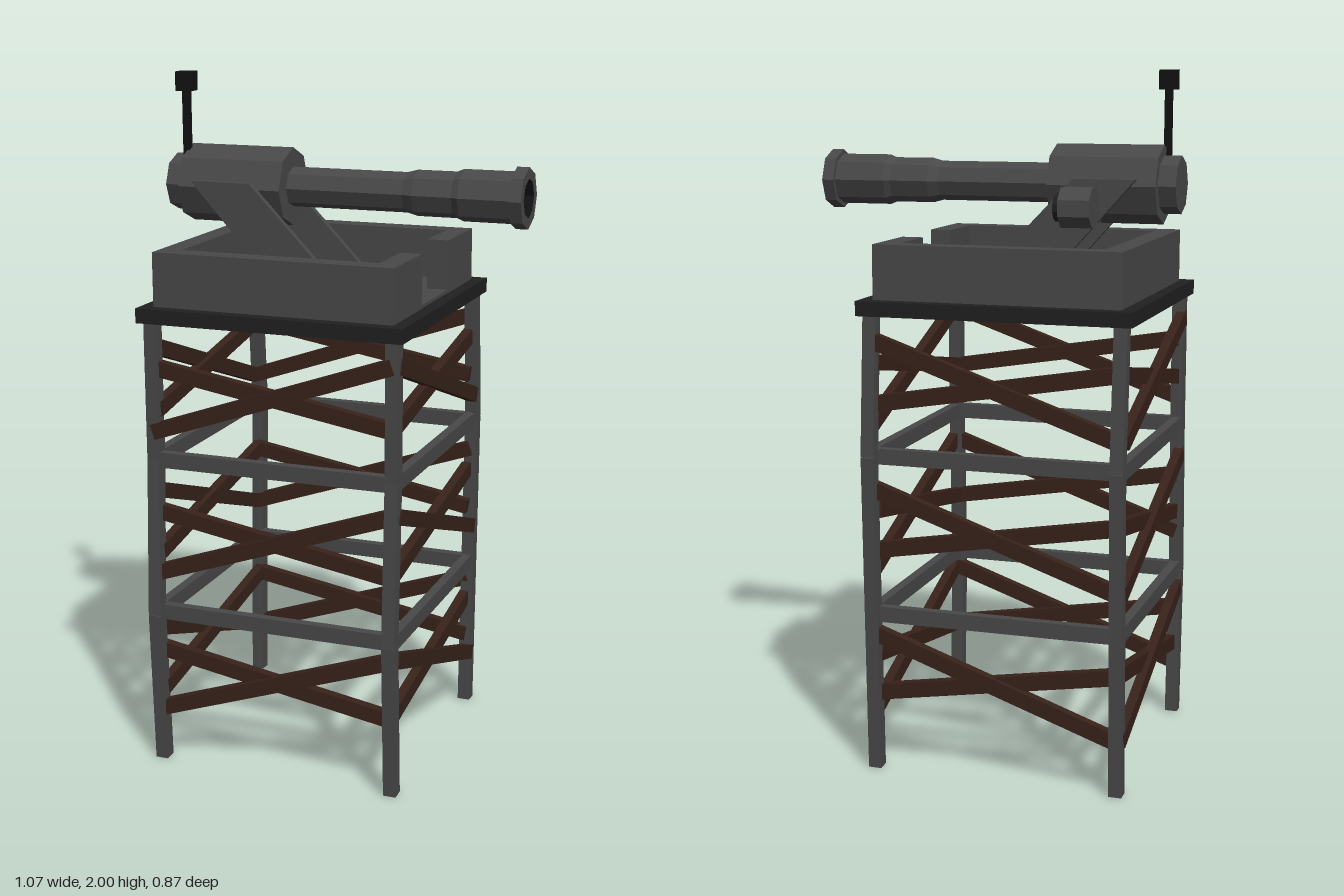
import * as THREE from 'three';

const mat = (color) => new THREE.MeshStandardMaterial({ color, flatShading: true });

export function createModel() {
  const model = new THREE.Group();
  model.name = 'gunTower';
  const steel = mat(0x484848), dark = mat(0x202020), black = mat(0x121212);
  const rust = mat(0x38221a), amber = mat(0xe89a45);

  const add = (parent, name, geometry, material, x = 0, y = 0, z = 0) => {
    const mesh = new THREE.Mesh(geometry, material);
    mesh.name = name;
    mesh.position.set(x, y, z);
    parent.add(mesh);
    return mesh;
  };
  const box = (parent, name, material, w, h, d, x, y, z) =>
    add(parent, name, new THREE.BoxGeometry(w, h, d), material, x, y, z);

  // Straight square beam between two points
  const beam = (parent, name, material, a, b, w, h) => {
    const mid = a.clone().add(b).multiplyScalar(0.5);
    const mesh = box(parent, name, material, w, h, a.distanceTo(b), mid.x, mid.y, mid.z);
    mesh.lookAt(b);
    return mesh;
  };
  const v = (x, y, z) => new THREE.Vector3(x, y, z);

  // Lathe along +x with eight flat sides and a ridge on top
  const turned = (parent, name, material, profile, y) => {
    const pts = profile.map(([x, r]) => new THREE.Vector2(r, x));
    const mesh = add(parent, name, new THREE.LatheGeometry(pts, 8), material, 0, y, 0);
    mesh.rotation.z = -Math.PI / 2;
    return mesh;
  };

  // Tower, turned slightly about the vertical
  const tower = new THREE.Group();
  tower.name = 'tower';
  const R = 0.36;

  // Legs, bowed gently outwards along z
  for (const sx of [-1, 1]) for (const sz of [-1, 1]) {
    const leg = new THREE.Group();
    leg.name = 'leg';
    const bow = sz > 0 ? [0, 0.022, 0, 0] : [0, 0.015, 0.03, 0];
    const nodes = [0, 0.46, 0.93, 1.34].map((y, i) => v(sx * R, y, sz * (R + bow[i])));
    for (let i = 0; i < 3; i++) beam(leg, 'legSegment', steel, nodes[i], nodes[i + 1], 0.038, 0.038);
    tower.add(leg);
  }

  // Girts and crossed braces on the four faces
  for (const side of [-1, 1]) for (const alongX of [true, false]) {
    const at = (t, y, out) => alongX ? v(t, y, side * (R + out)) : v(side * (R + out), y, t);
    const face = new THREE.Group();
    face.name = 'bracedFace';
    for (const y of [0.465, 0.928])
      beam(face, 'girt', steel, at(-R, y, 0), at(R, y, 0), 0.028, 0.045);
    for (let tier = 0; tier < 3; tier++) {
      const y = tier * 0.425;
      beam(face, 'steepBrace', rust, at(-R, y + 0.16, 0.008), at(R, y + 0.41, 0.008), 0.028, 0.045);
      beam(face, 'shallowBrace', rust, at(-R, y + 0.345, -0.008), at(R, y + 0.225, -0.008), 0.028, 0.045);
    }
    tower.add(face);
  }

  // Deck and parapet, with an opening on the +x side
  box(tower, 'deck', dark, 0.79, 0.042, 0.79, 0, 1.349, 0);
  box(tower, 'floor', steel, 0.712, 0.012, 0.712, 0, 1.374, 0);
  const wallY = 1.447, wallH = 0.156, T = 0.063, W = 0.714, gap = 0.12;
  box(tower, 'rearParapet', steel, T, wallH, W, -(W - T) / 2, wallY, 0);
  for (const s of [-1, 1]) {
    box(tower, 'sideParapet', steel, W, wallH, T, 0, wallY, s * (W - T) / 2);
    box(tower, 'openingParapet', steel, T, wallH, W / 2 - gap, (W - T) / 2, wallY, s * (W / 2 + gap) / 2);
  }

  // Gun mount
  const gun = new THREE.Group();
  gun.name = 'gun';
  gun.position.set(-0.028, 0, 0.026);
  tower.add(gun);
  add(gun, 'turntable', new THREE.CylinderGeometry(0.245, 0.245, 0.04, 12), dark, 0, 1.395, 0);

  // Slanted cheek plates
  const cheek = new THREE.Shape([[-0.04, 1.41], [0.16, 1.41], [-0.12, 1.7], [-0.3, 1.7]]
    .map(([x, y]) => new THREE.Vector2(x, y)));
  const cheekGeo = new THREE.ExtrudeGeometry(cheek, { depth: 0.02, bevelEnabled: false });
  for (const s of [-1, 1]) add(gun, 'cheekPlate', cheekGeo, steel, 0, 0, s * 0.122 - 0.01);
  box(gun, 'trunnion', steel, 0.08, 0.08, 0.24, -0.17, 1.66, 0);

  // Barrel, receiver and breech
  const axisY = 1.68;
  turned(gun, 'breech', steel, [[-0.403, 0], [-0.403, 0.082], [-0.345, 0.082]], axisY);
  turned(gun, 'receiver', steel, [[-0.352, 0], [-0.352, 0.112], [-0.037, 0.112], [-0.037, 0]], axisY);
  turned(gun, 'barrel', steel, [[-0.05, 0.057], [0.31, 0.057], [0.34, 0.065], [0.455, 0.065],
    [0.475, 0.073], [0.625, 0.073], [0.625, 0.086], [0.66, 0.086], [0.66, 0.055]], axisY);
  turned(gun, 'bore', black, [[0.66, 0.055], [0.54, 0.055], [0.54, 0]], axisY);

  // Periscope
  box(gun, 'periscopePost', black, 0.02, 0.24, 0.02, -0.355, 1.84, 0.03);
  box(gun, 'periscopeHead', black, 0.048, 0.055, 0.048, -0.355, 1.9725, 0.03);

  // Sight lamp on the -z side
  const lamp = new THREE.Group();
  lamp.name = 'sightLamp';
  lamp.position.set(-0.152, 1.625, -0.185);
  gun.add(lamp);
  const drum = (name, r, len, n, material, x, z) => {
    const mesh = add(lamp, name, new THREE.CylinderGeometry(r, r, len, n), material, x, 0, z);
    mesh.rotation.set(Math.PI / n, 0, -Math.PI / 2, 'XYZ');
  };
  drum('lampHousing', 0.06, 0.09, 8, steel, 0, 0);
  drum('lampRim', 0.04, 0.02, 12, dark, 0.052, -0.008);
  drum('lampLens', 0.028, 0.01, 12, amber, 0.06, -0.008);
  box(lamp, 'lampBracket', steel, 0.08, 0.1, 0.09, 0, 0, 0.05);

  tower.position.x = -0.1;
  tower.rotation.y = -0.085;
  model.add(tower);
  return model;
}
